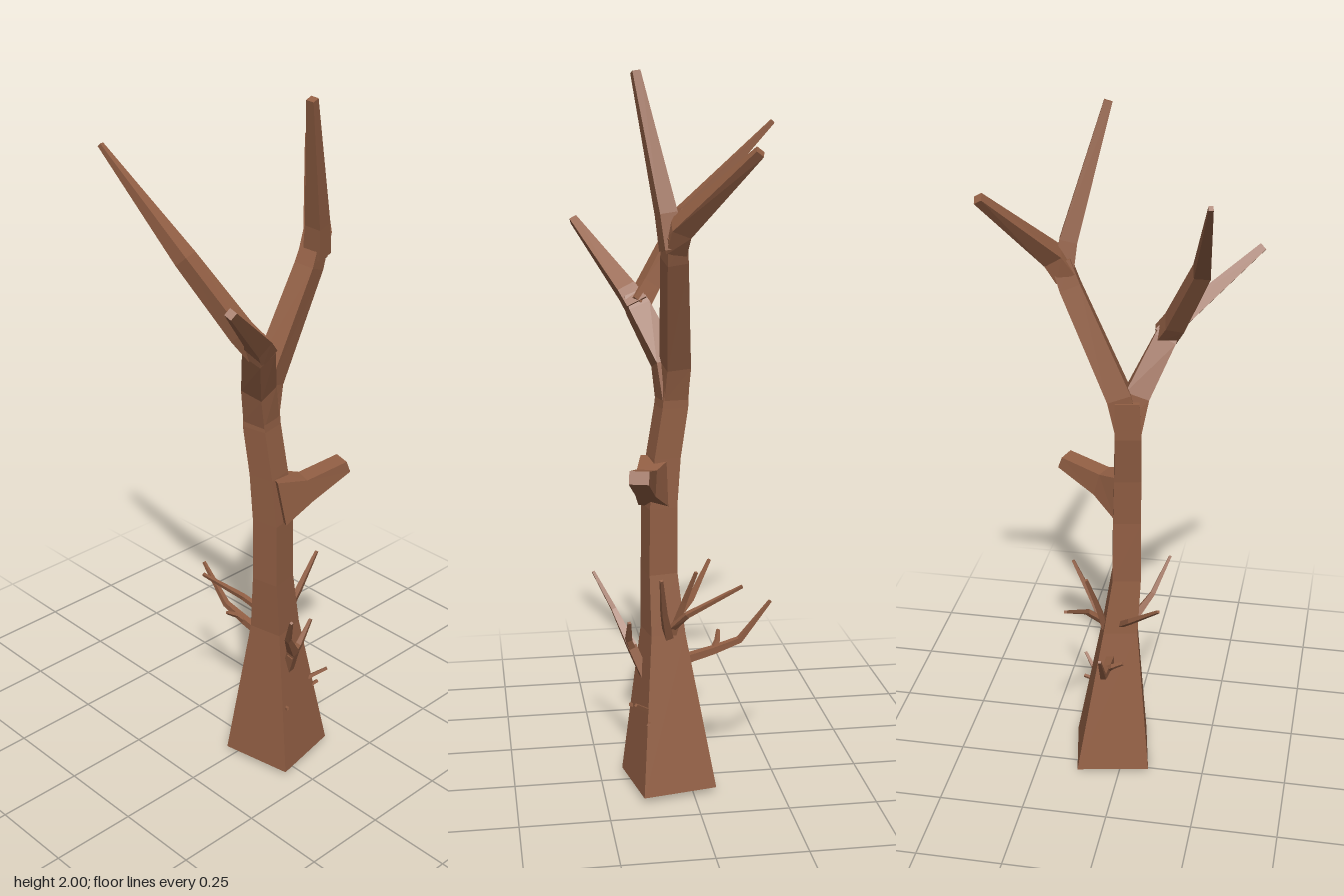
import * as THREE from 'three';

const bark = new THREE.MeshStandardMaterial({ color: 0x925f44, flatShading: true });
bark.name = 'bark brown';

const GRAIN = [0.983, 0, -0.186]; // sideways axis of the trunk's square section

// Square-section limb through rings [x, y, z, halfWidth, halfDepth?].
// side fixes the roll; level keeps every ring horizontal.
function limb(name, rings, { side = GRAIN, level = false } = {}) {
  const pts = rings.map(r => new THREE.Vector3(r[0], r[1], r[2]));
  const pos = [], index = [];
  rings.forEach((r, i) => {
    const t = new THREE.Vector3(0, 1, 0);
    if (!level) {
      t.set(0, 0, 0);
      if (i > 0) t.add(pts[i].clone().sub(pts[i - 1]).normalize());
      if (i < pts.length - 1) t.add(pts[i + 1].clone().sub(pts[i]).normalize());
      t.normalize();
    }
    const u = new THREE.Vector3(...side);
    u.addScaledVector(t, -u.dot(t)).normalize();
    const v = t.clone().cross(u);
    for (const [a, b] of [[-1, -1], [1, -1], [1, 1], [-1, 1]]) {
      const p = pts[i].clone().addScaledVector(u, a * r[3]).addScaledVector(v, b * (r[4] ?? r[3]));
      pos.push(p.x, p.y, p.z);
    }
  });
  for (let i = 0; i < rings.length - 1; i++) {
    for (let k = 0; k < 4; k++) {
      const a = i * 4 + k, b = i * 4 + (k + 1) % 4;
      index.push(a, b, b + 4, a, b + 4, a + 4);
    }
  }
  const e = (rings.length - 1) * 4;
  index.push(0, 2, 1, 0, 3, 2, e, e + 1, e + 2, e, e + 2, e + 3);
  const indexed = new THREE.BufferGeometry();
  indexed.setAttribute('position', new THREE.Float32BufferAttribute(pos, 3));
  indexed.setIndex(index);
  const geo = indexed.toNonIndexed();
  geo.computeVertexNormals();
  const mesh = new THREE.Mesh(geo, bark);
  mesh.name = name;
  return mesh;
}

export function createModel() {
  const tree = new THREE.Group();
  tree.name = 'bareTree';

  // Trunk, flared at the ground with a small foot below
  tree.add(limb('trunk', [
    [0.037, 0, 0.06, 0.055],
    [0.037, 0.015, 0.06, 0.06],
    [0.037, 0.015, 0.06, 0.107],
    [0.015, 0.46, 0.072, 0.05],
    [-0.002, 0.63, 0.08, 0.041],
    [-0.003, 0.82, 0.079, 0.04],
    [-0.007, 0.96, 0.066, 0.038],
    [-0.012, 1.1, 0.043, 0.037],
    [-0.01, 1.21, 0.035, 0.034],
  ], { level: true }));

  // Broken stub, tall where it leaves the trunk
  tree.add(limb('stub', [
    [-0.002, 0.89, 0.09, 0.07, 0.045],
    [0.08, 0.907, 0.125, 0.036, 0.028],
    [0.195, 0.952, 0.158, 0.018, 0.027],
  ], { side: [0, 1, 0] }));

  // Left limb and its two forks
  tree.add(limb('leftLimb', [
    [-0.008, 1.13, 0.04, 0.034],
    [0.012, 1.22, 0.035, 0.034],
    [0.148, 1.52, 0.056, 0.029],
    [0.172, 1.59, 0.058, 0.026],
  ]));
  tree.add(limb('leftForkUpright', [
    [0.168, 1.55, 0.065, 0.027],
    [0.155, 1.64, 0.078, 0.024],
    [0.059, 1.997, 0.144, 0.011],
  ]));
  tree.add(limb('leftForkOuter', [
    [0.16, 1.55, 0.058, 0.028],
    [0.19, 1.605, 0.045, 0.027],
    [0.34, 1.805, -0.13, 0.012],
  ]));

  // Right limb and its two forks
  tree.add(limb('rightLimb', [
    [-0.014, 1.12, 0.043, 0.035],
    [-0.035, 1.22, 0.055, 0.034],
    [-0.1, 1.36, 0.122, 0.031],
    [-0.115, 1.395, 0.138, 0.026],
  ]));
  tree.add(limb('rightForkFront', [
    [-0.095, 1.365, 0.125, 0.03],
    [-0.13, 1.405, 0.15, 0.026],
    [-0.343, 1.585, 0.278, 0.011],
  ]));
  tree.add(limb('rightForkBack', [
    [-0.1, 1.37, 0.125, 0.028],
    [-0.13, 1.42, 0.09, 0.026],
    [-0.215, 1.61, -0.025, 0.022],
    [-0.265, 1.86, -0.285, 0.006],
  ]));

  // Thin twigs round the lower trunk
  const twigs = {
    frontTwig: [[0.022, 0.3, 0.115, 0.012], [0.002, 0.41, 0.16, 0.013],
      [-0.062, 0.5, 0.203, 0.007], [-0.105, 0.602, 0.257, 0.004]],
    frontTwigSpur: [[0, 0.39, 0.155, 0.01], [0.018, 0.435, 0.17, 0.008], [0.06, 0.5, 0.172, 0.004]],
    backTwig: [[0.035, 0.37, 0.03, 0.012], [0.03, 0.395, -0.07, 0.01],
      [0.025, 0.42, -0.147, 0.008], [0.018, 0.53, -0.237, 0.004]],
    backTwigSpur: [[0.028, 0.395, -0.07, 0.007], [0.01, 0.415, -0.085, 0.006], [-0.022, 0.435, -0.093, 0.004]],
    rightTwig: [[0.01, 0.48, 0.04, 0.008], [-0.03, 0.53, -0.015, 0.007], [-0.122, 0.615, -0.083, 0.004]],
    leftTwig: [[0.05, 0.44, 0.06, 0.012], [0.1, 0.535, 0.08, 0.008], [0.16, 0.652, 0.095, 0.004]],
    leftTwigSpur: [[0.055, 0.46, 0.05, 0.009], [0.077, 0.56, 0.02, 0.006], [0.1, 0.652, -0.01, 0.004]],
    leftBackTwig: [[0.06, 0.48, 0.05, 0.008], [0.103, 0.53, 0.015, 0.007], [0.135, 0.617, -0.133, 0.004]],
    lowTwigUpper: [[0.09, 0.24, 0.11, 0.006], [0.14, 0.287, 0.165, 0.004]],
    lowTwigLower: [[0.08, 0.215, 0.12, 0.005], [0.138, 0.225, 0.13, 0.004]],
    lowTwigFront: [[-0.015, 0.215, 0.12, 0.006], [-0.022, 0.222, 0.166, 0.004]],
  };
  for (const [name, rings] of Object.entries(twigs)) tree.add(limb(name, rings));

  return tree;
}
